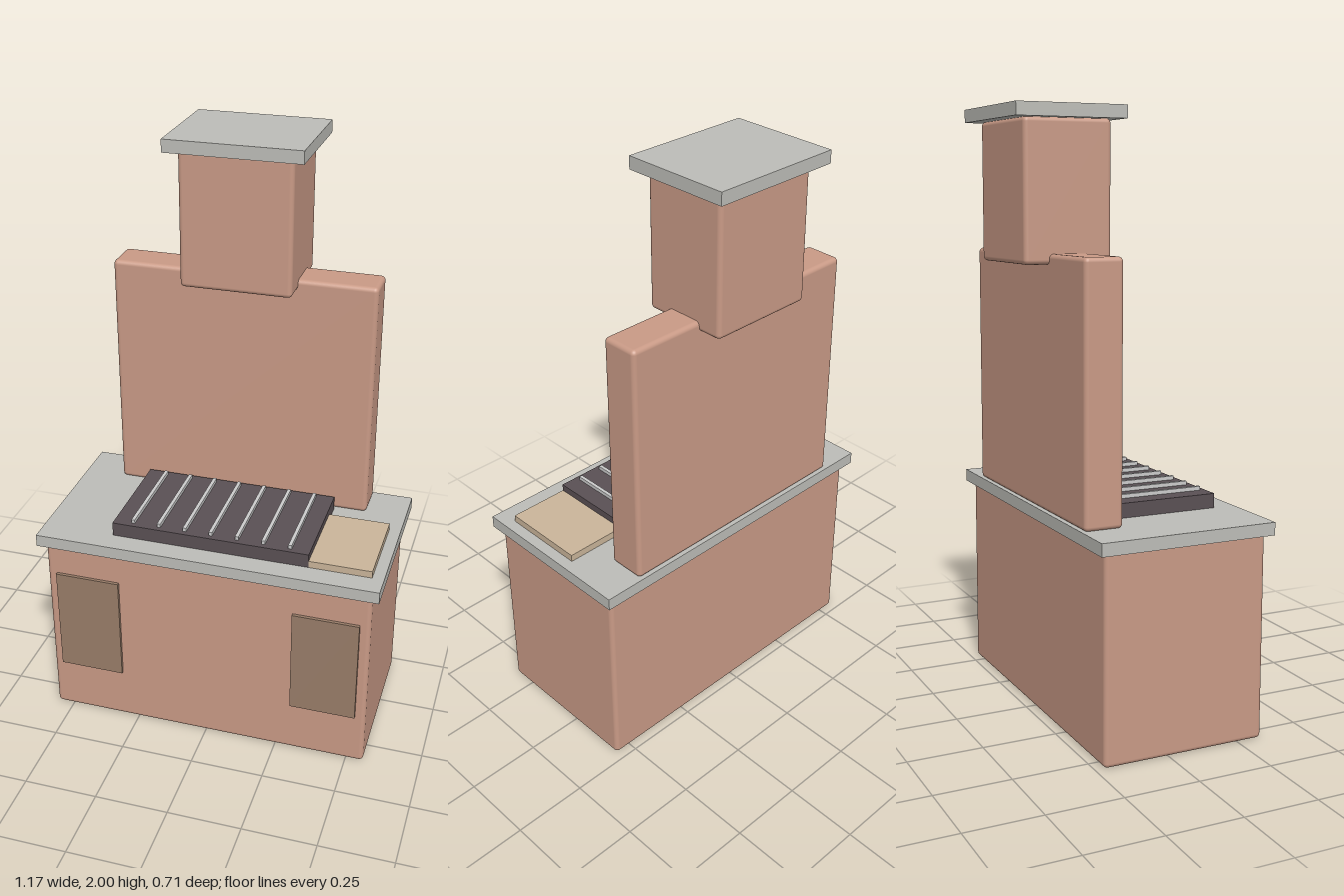
import * as THREE from 'three';
import { RoundedBoxGeometry } from 'three/addons/geometries/RoundedBoxGeometry.js';

const material = (color) => new THREE.MeshStandardMaterial({ color });
const brick = material(0xc99a86);
const stone = material(0xbdbdb8);
const iron = material(0x5a5054);
const steel = material(0xc4c8c6);
const wood = material(0xcab59a);
const doorPaint = material(0x997d69);

export function createModel() {
  const model = new THREE.Group();
  model.name = 'brickBarbecue';

  // Adds a box from its [min, max] extents; a radius rounds its edges
  function addBox(name, mat, [x0, x1], [y0, y1], [z0, z1], radius = 0) {
    const size = [x1 - x0, y1 - y0, z1 - z0];
    const geometry = radius
      ? new RoundedBoxGeometry(...size, 3, radius)
      : new THREE.BoxGeometry(...size);
    const mesh = new THREE.Mesh(geometry, mat);
    mesh.name = name;
    mesh.position.set((x0 + x1) / 2, (y0 + y1) / 2, (z0 + z1) / 2);
    model.add(mesh);
  }

  // Brick base and stone worktop
  addBox('base', brick, [-0.56, 0.56], [0, 0.68], [-0.222, 0.336], 0.015);
  addBox('worktop', stone, [-0.585, 0.585], [0.675, 0.717], [-0.245, 0.355]);

  // Back wall, chimney and chimney cap
  addBox('backWall', brick, [-0.448, 0.448], [0.715, 1.543], [-0.235, -0.105], 0.015);
  addBox('chimney', brick, [-0.186, 0.186], [1.51, 1.96], [-0.317, -0.02], 0.015);
  addBox('chimneyCap', stone, [-0.225, 0.225], [1.958, 2], [-0.358, 0.015]);

  // Grill tray with its row of bars
  addBox('grillTray', iron, [-0.337, 0.337], [0.717, 0.765], [-0.095, 0.28]);
  for (let i = -3; i <= 3; i++) {
    const x = i * 0.09;
    addBox('grillBar', steel, [x - 0.006, x + 0.006], [0.762, 0.778], [-0.08, 0.262]);
  }

  // Cutting board beside the grill
  addBox('cuttingBoard', wood, [0.337, 0.546], [0.717, 0.741], [-0.018, 0.28]);

  // Cupboard doors on the front
  for (const [name, x] of [['leftDoor', 0.414], ['rightDoor', -0.414]]) {
    addBox(name, doorPaint, [x - 0.112, x + 0.112], [0.19, 0.566], [0.325, 0.347]);
  }

  return model;
}
